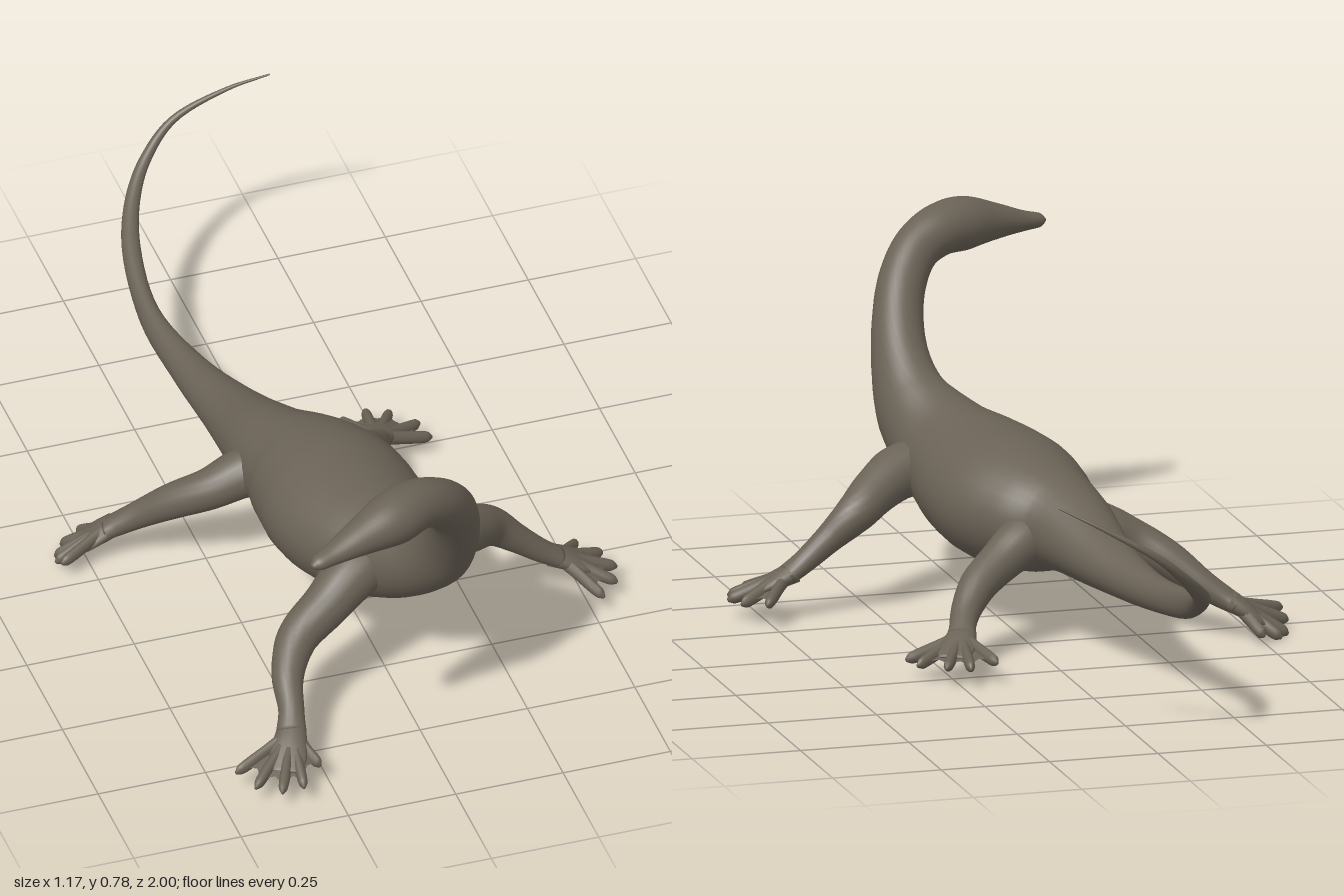
import * as THREE from 'three';

const V = (a) => new THREE.Vector3(a[0], a[1], a[2]);

// Smooth closed loft: each station is [x, y, z, side radius, vertical radius]
function loft(stations, steps, sides) {
  const path = new THREE.CatmullRomCurve3(stations.map(V));
  const radii = new THREE.CatmullRomCurve3(stations.map((s) => new THREE.Vector3(s[3], s[4] ?? s[3], 0)), false, 'catmullrom', 0.5);
  const up = new THREE.Vector3(0, 1, 0);
  const pos = [], idx = [];
  for (let i = 0; i <= steps; i++) {
    const t = i / steps;
    const c = path.getPoint(t), r = radii.getPoint(t), dir = path.getTangent(t);
    const side = up.clone().cross(dir).normalize();
    const top = dir.clone().cross(side);
    for (let j = 0; j < sides; j++) {
      const a = (j / sides) * Math.PI * 2;
      const p = c.clone()
        .addScaledVector(side, Math.cos(a) * Math.max(r.x, 0.001))
        .addScaledVector(top, Math.sin(a) * Math.max(r.y, 0.001));
      pos.push(p.x, p.y, p.z);
      if (i < steps) {
        const k = (j + 1) % sides, A = i * sides, B = A + sides;
        idx.push(A + j, A + k, B + k, A + j, B + k, B + j);
      }
    }
  }
  // end caps
  const last = steps * sides, n = (steps + 1) * sides;
  const s = path.getPoint(0), e = path.getPoint(1);
  pos.push(s.x, s.y, s.z, e.x, e.y, e.z);
  for (let j = 0; j < sides; j++) {
    const k = (j + 1) % sides;
    idx.push(n, k, j, n + 1, last + j, last + k);
  }
  return indexed(pos, idx);
}

function indexed(pos, idx) {
  const g = new THREE.BufferGeometry();
  g.setAttribute('position', new THREE.Float32BufferAttribute(pos, 3));
  g.setIndex(idx);
  g.computeVertexNormals();
  return g;
}

// Thin skin stretched from the ankle to just short of the toe tips
function webGeometry(ankle, tips) {
  const pos = [], idx = [], rows = 5, cols = (tips.length - 1) * 4;
  for (let i = 0; i <= rows; i++) {
    for (let j = 0; j <= cols; j++) {
      const f = j / 4, k = Math.min(Math.floor(f), tips.length - 2), u = f - k;
      const edge = V(tips[k]).lerp(V(tips[k + 1]), u);
      const reach = 0.92 - 0.16 * Math.sin(u * Math.PI);
      const p = V(ankle).lerp(edge, (i / rows) * reach);
      pos.push(p.x, p.y, p.z);
      if (i < rows && j < cols) {
        const a = i * (cols + 1) + j, b = a + cols + 1;
        idx.push(a, b, b + 1, a, b + 1, a + 1);
      }
    }
  }
  return indexed(pos, idx);
}

const LEGS = {
  frontLeftLeg: {
    path: [[0.08, 0.31, 0.47, 0.06], [0.16, 0.3, 0.455, 0.062], [0.225, 0.275, 0.415, 0.054], [0.29, 0.235, 0.37, 0.045],
      [0.35, 0.185, 0.366, 0.033], [0.41, 0.135, 0.365, 0.03, 0.026], [0.45, 0.108, 0.362, 0.034, 0.022]],
    tips: [[0.52, 0.065, 0.275], [0.565, 0.06, 0.32], [0.58, 0.058, 0.375], [0.565, 0.055, 0.425], [0.52, 0.057, 0.47]],
  },
  frontRightLeg: {
    path: [[0.0, 0.33, 0.5, 0.06], [-0.08, 0.31, 0.53, 0.062], [-0.16, 0.265, 0.57, 0.053], [-0.24, 0.22, 0.61, 0.046],
      [-0.285, 0.175, 0.68, 0.036], [-0.3, 0.135, 0.75, 0.029, 0.027], [-0.315, 0.108, 0.795, 0.034, 0.022]],
    tips: [[-0.455, 0.06, 0.835], [-0.43, 0.055, 0.895], [-0.38, 0.055, 0.93], [-0.33, 0.058, 0.93], [-0.275, 0.065, 0.875]],
  },
  backLeftLeg: {
    path: [[-0.05, 0.26, 0.04, 0.06], [0.01, 0.245, 0.005, 0.058], [0.075, 0.21, -0.03, 0.048], [0.14, 0.17, -0.075, 0.042],
      [0.185, 0.125, -0.13, 0.033], [0.205, 0.102, -0.175, 0.03, 0.026], [0.215, 0.09, -0.2, 0.034, 0.022]],
    tips: [[0.17, 0.06, -0.325], [0.235, 0.055, -0.345], [0.285, 0.055, -0.325], [0.335, 0.052, -0.27], [0.345, 0.052, -0.215]],
  },
  backRightLeg: {
    path: [[-0.1, 0.27, 0.05, 0.06], [-0.17, 0.255, 0.035, 0.057], [-0.25, 0.22, 0.025, 0.047], [-0.32, 0.18, -0.01, 0.041],
      [-0.385, 0.13, -0.05, 0.032], [-0.43, 0.1, -0.07, 0.03, 0.026], [-0.455, 0.085, -0.08, 0.034, 0.022]],
    tips: [[-0.495, 0.03, -0.16], [-0.54, 0.018, -0.14], [-0.565, 0.016, -0.105], [-0.578, 0.035, -0.06], [-0.575, 0.055, -0.025]],
  },
};

export function createModel() {
  const model = new THREE.Group();
  model.name = 'longNeckedReptile';

  const skin = new THREE.MeshStandardMaterial({ color: 0x6a6256 });
  skin.name = 'grey brown skin';
  const webSkin = skin.clone();
  webSkin.name = 'grey brown webbing';
  webSkin.side = THREE.DoubleSide;

  const add = (parent, name, geometry, material = skin) => {
    const mesh = new THREE.Mesh(geometry, material);
    mesh.name = name;
    parent.add(mesh);
  };

  // Tail, trunk, neck and head in one continuous skin
  add(model, 'body', loft([
    [0.21, 0.57, -0.94, 0.002], [0.12, 0.525, -0.975, 0.005], [0.0, 0.455, -0.992, 0.009], [-0.075, 0.39, -0.955, 0.013],
    [-0.125, 0.34, -0.89, 0.017], [-0.165, 0.293, -0.78, 0.021], [-0.182, 0.238, -0.6, 0.024, 0.034],
    [-0.155, 0.223, -0.4, 0.042, 0.043], [-0.12, 0.238, -0.2, 0.07, 0.064], [-0.087, 0.27, 0, 0.108, 0.102],
    [-0.052, 0.276, 0.1, 0.15, 0.13], [-0.026, 0.283, 0.2, 0.176, 0.143], [-0.015, 0.29, 0.3, 0.178, 0.141],
    [0.005, 0.304, 0.4, 0.16, 0.133], [0.04, 0.335, 0.5, 0.125, 0.118],
    [0.082, 0.4, 0.597, 0.088, 0.1], [0.093, 0.475, 0.667, 0.068, 0.08], [0.083, 0.56, 0.735, 0.058, 0.066],
    [0.055, 0.64, 0.795, 0.054, 0.058], [0.01, 0.7, 0.84, 0.053, 0.055], [-0.05, 0.73, 0.872, 0.059, 0.058],
    [-0.12, 0.733, 0.908, 0.062, 0.06], [-0.2, 0.724, 0.938, 0.045, 0.041], [-0.27, 0.713, 0.963, 0.029, 0.024],
    [-0.315, 0.707, 0.98, 0.019, 0.016], [-0.33, 0.705, 0.986, 0.006, 0.005],
  ], 150, 32));

  // Sprawling legs with webbed, five-toed feet
  for (const [name, { path, tips }] of Object.entries(LEGS)) {
    const leg = new THREE.Group();
    leg.name = name;
    model.add(leg);
    add(leg, 'limb', loft(path, 36, 20));

    const ankle = path[path.length - 1];
    add(leg, 'webbing', webGeometry(ankle, tips), webSkin);

    // Wedge-shaped sole joining the ankle to the middle toe
    const at = (tip, t) => V(ankle).lerp(V(tip), t).toArray();
    add(leg, 'instep', loft([
      [...at(tips[2], -0.15), 0.03, 0.024], [...at(tips[2], 0.15), 0.038, 0.02],
      [...at(tips[2], 0.45), 0.042, 0.011], [...at(tips[2], 0.65), 0.03, 0.004],
    ], 12, 16));

    for (const tip of tips) {
      add(leg, 'toe', loft([
        [...at(tip, 0), 0.016, 0.018], [...at(tip, 0.4), 0.012, 0.016], [...at(tip, 0.75), 0.012, 0.015],
        [...at(tip, 0.93), 0.01, 0.013], [...at(tip, 1.02), 0.003, 0.004],
      ], 16, 10));
    }
  }
  return model;
}
